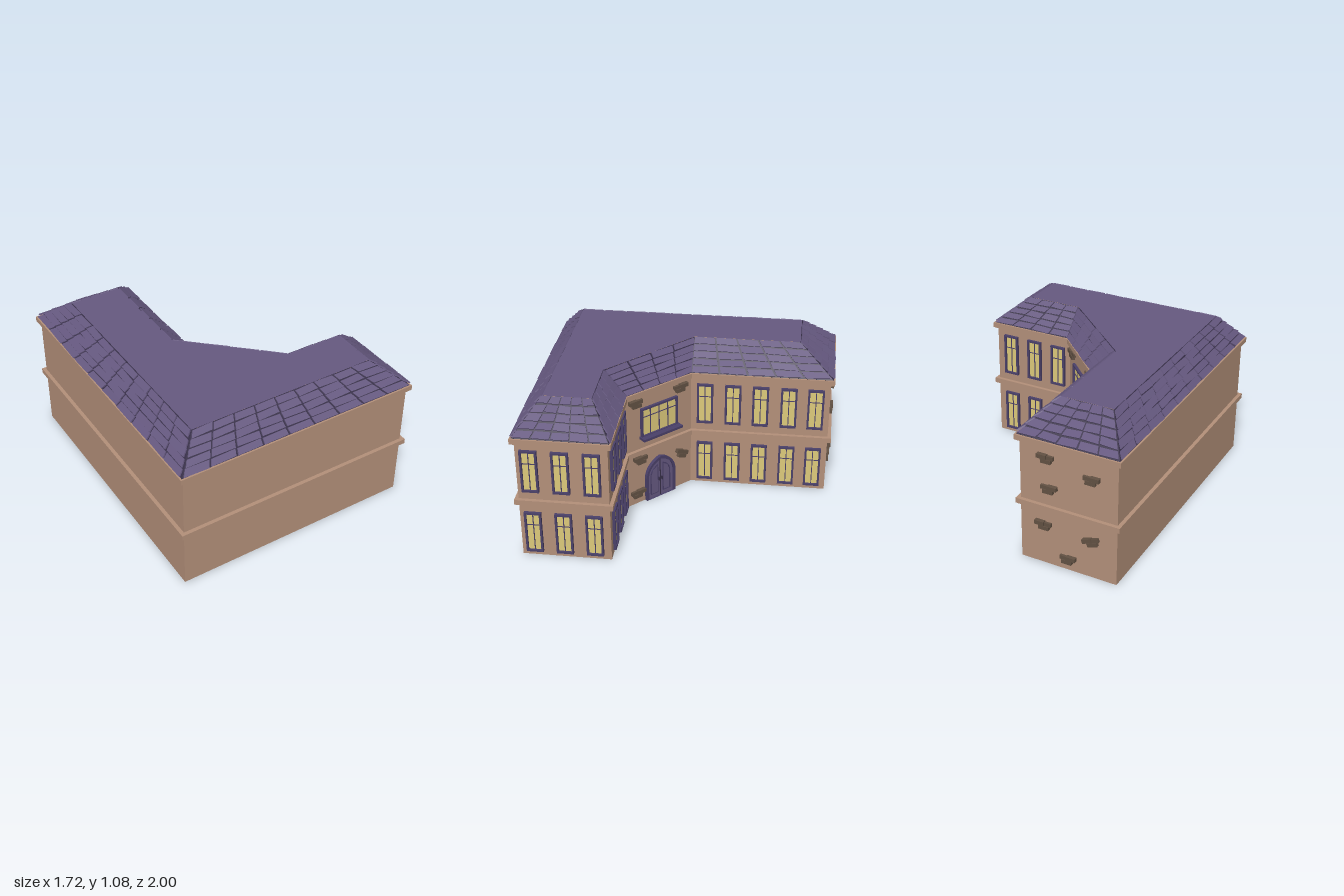
import * as THREE from 'three';
import { mergeGeometries } from 'three/addons/utils/BufferGeometryUtils.js';

const mat = (name, color) => {
  const m = new THREE.MeshStandardMaterial({ color });
  m.name = name;
  return m;
};

export function createModel() {
  const model = new THREE.Group();
  model.name = 'cornerBuilding';
  const wallMat = mat('tan plaster', 0xb28f79);
  const roofMat = mat('purple slate', 0x65587f);
  const darkMat = mat('dark slate', 0x372f48);
  const trimMat = mat('purple trim', 0x4a4069);
  const glassMat = mat('warm glass', 0xdcc97a);
  const brickMat = mat('brown brick', 0x625143);

  const add = (parent, geometry, material, name, x = 0, y = 0, z = 0) => {
    const mesh = new THREE.Mesh(geometry, material);
    mesh.name = name;
    mesh.position.set(x, y, z);
    parent.add(mesh);
    return mesh;
  };
  const box = (parent, name, material, w, h, d, x, y, z) =>
    add(parent, new THREE.BoxGeometry(w, h, d), material, name, x, y, z);

  // Wall footprint as [x, z], starting at the front right corner of the plan
  const plan = [[-0.835, 0.975], [0.835, 0.975], [0.835, 0.385], [0.235, 0.385],
    [-0.165, -0.015], [-0.165, -0.975], [-0.835, -0.975]];
  const n = plan.length;
  const normal = (i) => {
    const a = plan[(i + n) % n], b = plan[(i + 1) % n];
    return new THREE.Vector2(a[1] - b[1], b[0] - a[0]).normalize();
  };
  const outset = (d) => plan.map((p, i) => {
    const a = normal(i - 1), b = normal(i), k = d / (1 + a.dot(b));
    return [p[0] + (a.x + b.x) * k, p[1] + (a.y + b.y) * k];
  });
  const toShape = (pts) => new THREE.Shape(pts.map(([x, z]) => new THREE.Vector2(x, -z)));
  const slab = (name, pts, y, h) => add(model,
    new THREE.ExtrudeGeometry(toShape(pts), { depth: h, bevelEnabled: false }).rotateX(-Math.PI / 2),
    wallMat, name, 0, y, 0);

  // Walls and the two cornice bands
  slab('walls', plan, 0, 0.86);
  for (const [name, y] of [['middleCornice', 0.4], ['topCornice', 0.85]]) {
    slab(name, outset(0.025), y, 0.035);
    slab(name + 'Lip', outset(0.018), y - 0.006, 0.006);
  }

  // Roof: flat top, dark slopes and slightly uneven slates
  const eave = outset(0.014);
  const ridge = [[-0.685, 0.83], [0.62, 0.83], [0.62, 0.515], [0.235, 0.515],
    [-0.33, -0.02], [-0.33, -0.75], [-0.685, -0.75]];
  const eaveY = 0.886, ridgeY = 1.073;
  add(model, new THREE.ShapeGeometry(toShape(ridge)).rotateX(-Math.PI / 2), roofMat, 'flatRoof', 0, ridgeY + 0.001, 0);

  let seed = 7;
  const jitter = (amount) => {
    seed = (seed * 16807) % 2147483647;
    return (seed / 2147483647 - 0.5) * 2 * amount;
  };
  const columns = [9, 5, 4, 4, 5, 5, 10], rows = 5;
  const tiles = [], slopes = [];
  plan.forEach((_, i) => {
    const j = (i + 1) % n;
    const at = (p, y) => new THREE.Vector3(p[0], y, p[1]);
    const a = at(eave[i], eaveY), b = at(eave[j], eaveY);
    const c = at(ridge[j], ridgeY), d = at(ridge[i], ridgeY);
    const up = b.clone().sub(a).cross(d.clone().sub(a)).normalize();
    // Bends a unit box onto part of this slope
    const patch = (u0, u1, v0, v1, low, high, thick, skew = 0) => {
      const g = new THREE.BoxGeometry(1, 1, 1), pos = g.attributes.position;
      for (let k = 0; k < pos.count; k++) {
        const s = pos.getX(k) + 0.5, t = pos.getY(k) + 0.5, w = pos.getZ(k) + 0.5;
        const u = THREE.MathUtils.lerp(u0, u1, s);
        const v = THREE.MathUtils.lerp(v0, v1, t) + (s - 0.5) * skew;
        const p = a.clone().lerp(b, u).lerp(d.clone().lerp(c, u), v);
        p.addScaledVector(up, THREE.MathUtils.lerp(low, high, t) + (w - 1) * thick);
        pos.setXYZ(k, p.x, p.y, p.z);
      }
      g.computeVertexNormals();
      return g;
    };
    slopes.push(patch(0, 1, 0, 1, 0, 0, 0.01));
    for (let r = 0; r < rows; r++) {
      for (let q = 0; q < columns[i]; q++) {
        const gu = 0.04 / columns[i];
        tiles.push(patch(q / columns[i] + gu, (q + 1) / columns[i] - gu,
          (r + 0.06) / rows + jitter(0.008), (r + 0.93) / rows + jitter(0.008),
          0.016 + jitter(0.003), 0.007, 0.009, jitter(0.025)));
      }
    }
  });
  add(model, mergeGeometries(slopes), darkMat, 'roofSlopes');
  add(model, mergeGeometries(tiles), roofMat, 'roofSlates');

  // One group per wall: x runs along the wall, z points outwards
  const walls = plan.map((p, i) => {
    const g = new THREE.Group(), d = normal(i);
    g.name = 'wallDetails' + (i + 1);
    g.position.set(p[0], 0, p[1]);
    g.rotation.y = Math.atan2(d.x, d.y);
    model.add(g);
    return g;
  });

  // Framed window with thin glazing bars
  const addWindow = (wall, x, y, w, h, bars, name) => {
    const g = new THREE.Group();
    g.name = name;
    g.position.set(x, y, 0);
    wall.add(g);
    const f = 0.014;
    box(g, 'glass', glassMat, w - f, h - f, 0.006, 0, 0, 0.003);
    for (const s of [-1, 1]) {
      box(g, 'frameSide', trimMat, f, h, 0.02, s * (w - f) / 2, 0, 0.01);
      box(g, 'frameRail', trimMat, w - 2 * f, f, 0.02, 0, s * (h - f) / 2, 0.01);
    }
    for (let k = 1; k <= bars; k++)
      box(g, 'mullion', trimMat, 0.006, h - 2 * f, 0.005, (k / (bars + 1) - 0.5) * (w - f), 0, 0.008);
    box(g, 'crossBar', trimMat, w - 2 * f, 0.005, 0.005, 0, h * 0.18, 0.008);
    return g;
  };
  const windowRows = { 1: [0.085, 0.285, 0.485], 2: [0.115, 0.31, 0.505], 4: [0.1, 0.295, 0.485, 0.68, 0.865] };
  for (const [i, spots] of Object.entries(windowRows))
    for (const x of spots)
      for (const y of [0.185, 0.648]) addWindow(walls[i], x, y, 0.112, 0.305, 1, 'window');

  // Wide window with a sill above the entrance
  const entry = walls[3], mid = 0.283;
  const wide = addWindow(entry, mid, 0.635, 0.31, 0.225, 3, 'wideWindow');
  box(wide, 'sill', trimMat, 0.33, 0.018, 0.06, 0, -0.112, 0.03);

  // Pointed-arch double door
  const arch = (w, spring, top, base = 0) => {
    const s = new THREE.Shape();
    s.moveTo(-w, base);
    s.lineTo(w, base);
    s.lineTo(w, spring);
    s.quadraticCurveTo(w * 0.92, top - (top - spring) * 0.25, 0, top);
    s.quadraticCurveTo(-w * 0.92, top - (top - spring) * 0.25, -w, spring);
    return s;
  };
  const extrude = (shape, depth) => new THREE.ExtrudeGeometry(shape, { depth, bevelEnabled: false, curveSegments: 8 });
  const door = new THREE.Group();
  door.name = 'door';
  door.position.x = mid;
  entry.add(door);
  const surround = arch(0.126, 0.185, 0.327);
  surround.holes.push(arch(0.108, 0.185, 0.305, 0.001));
  add(door, extrude(surround, 0.024), trimMat, 'doorSurround');
  add(door, extrude(arch(0.11, 0.185, 0.308), 0.01), roofMat, 'doorLeaves');
  box(door, 'doorSplit', darkMat, 0.006, 0.295, 0.006, 0, 0.15, 0.011);
  for (const s of [-1, 1]) {
    const panel = new THREE.Shape();
    panel.moveTo(s * 0.02, 0.03);
    panel.lineTo(s * 0.085, 0.03);
    panel.lineTo(s * 0.085, 0.19);
    panel.quadraticCurveTo(s * 0.075, 0.245, s * 0.02, 0.265);
    const hole = new THREE.Path([[0.026, 0.036], [0.079, 0.036], [0.079, 0.19], [0.066, 0.228], [0.026, 0.255]]
      .map(([x, y]) => new THREE.Vector2(s * x, y)));
    panel.holes.push(hole);
    add(door, extrude(panel, 0.006), trimMat, 'doorPanel', 0, 0, 0.01);
    box(door, 'doorHandle', darkMat, 0.008, 0.025, 0.014, s * 0.012, 0.14, 0.015);
  }

  // Clusters of exposed bricks: [x, y, tilt, mirror]
  const addBricks = (wall, [x, y, tilt, flip]) => {
    const g = new THREE.Group();
    g.name = 'exposedBricks';
    g.position.set(x, y, 0);
    g.rotation.z = tilt;
    wall.add(g);
    for (const [bx, by, w, d] of [[-0.025, 0.016, 0.065, 0.034], [0.03, 0.01, 0.05, 0.024], [0.004, -0.014, 0.07, 0.03]])
      box(g, 'brick', brickMat, w, 0.027, d, bx * flip, by, d / 2 - 0.006);
  };
  [[0.09, 0.8, 0, 1], [0.467, 0.8, 0, -1], [0.12, 0.35, 0, 1], [0.475, 0.27, -0.4, 1], [0.09, 0.085, 0, -1]]
    .forEach((b) => addBricks(entry, b));
  [[0.185, 0.765, 0, 1], [0.495, 0.7, 0, -1], [0.205, 0.555, 0, -1],
    [0.165, 0.285, 0, 1], [0.5, 0.265, 0.35, 1], [0.335, 0.08, 0, -1]]
    .forEach((b) => addBricks(walls[5], b));

  return model;
}
